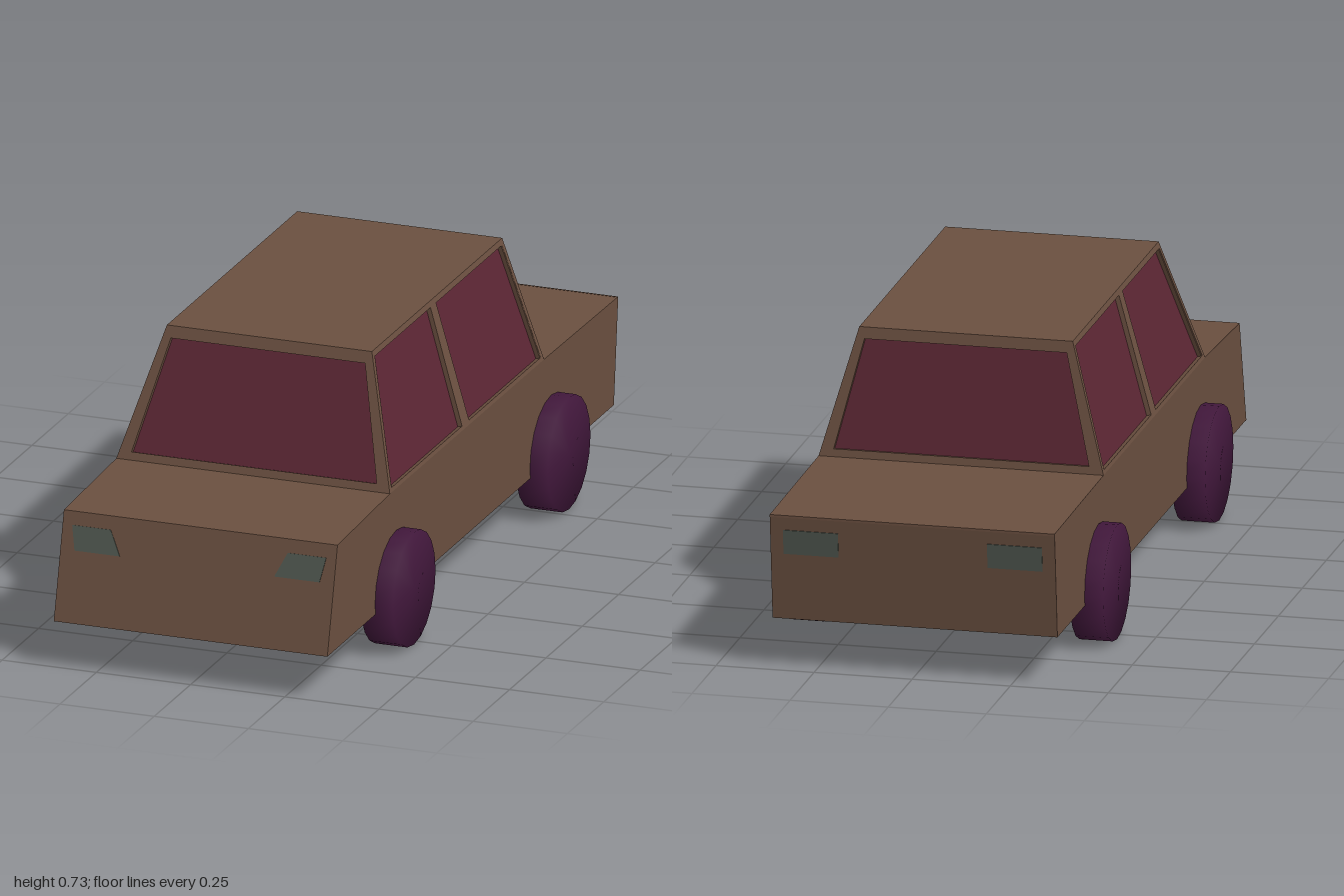
import * as THREE from 'three';

const paint = new THREE.MeshStandardMaterial({ color: 0x6b5040, side: THREE.DoubleSide });
const glass = new THREE.MeshStandardMaterial({ color: 0x5c2634, side: THREE.DoubleSide });
const lamp = new THREE.MeshStandardMaterial({ color: 0x505850, side: THREE.DoubleSide });
const rubber = new THREE.MeshStandardMaterial({ color: 0x42183c });

const vec = (p) => new THREE.Vector3(...p);
const points = (list) => list.map(([u, v]) => new THREE.Vector2(u, v));
const UNIT = [[0, 0], [1, 0], [1, 1], [0, 1]];

// Plate on four corners (bottom left, bottom right, top right, top left seen from outside).
// The outline and holes are in 0..1 across the plate; top and bottom are depths below its face.
function panel(name, corners, material, { outline = UNIT, holes = [], top = 0, bottom = 0.012 } = {}) {
  const [bl, br, tr, tl] = corners.map(vec);
  const inward = tl.clone().sub(bl).cross(br.clone().sub(bl)).normalize();
  const shape = new THREE.Shape(points(outline));
  holes.forEach((h) => shape.holes.push(new THREE.Path(points(h))));
  const geo = new THREE.ExtrudeGeometry(shape, { depth: 1, bevelEnabled: false });
  const pos = geo.attributes.position;
  for (let i = 0; i < pos.count; i++) {
    const u = pos.getX(i), v = pos.getY(i);
    const p = bl.clone().lerp(br, u).lerp(tl.clone().lerp(tr, u), v);
    p.addScaledVector(inward, THREE.MathUtils.lerp(bottom, top, pos.getZ(i)));
    pos.setXYZ(i, p.x, p.y, p.z);
  }
  geo.computeVertexNormals();
  const mesh = new THREE.Mesh(geo, material);
  mesh.name = name;
  return mesh;
}

// Framed opening with the pane set slightly into it
function windowWall(name, corners, holes) {
  const wall = new THREE.Group();
  wall.name = name;
  wall.add(panel(name + 'Frame', corners, paint, { holes, bottom: 0.018 }));
  holes.forEach((outline) =>
    wall.add(panel(name + 'Glass', corners, glass, { outline, top: 0.012, bottom: 0.015 })));
  return wall;
}

export function createModel() {
  const car = new THREE.Group();
  car.name = 'car';
  const W = 0.363, R = 0.272;          // half widths of body and roof
  const base = 0.405, roofY = 0.73;    // cabin heights
  const zf = 0.57, zr = -0.49, tf = 0.458, tb = -0.438; // cabin ends, below and above

  // Lower body shell, open underneath
  const front = [[-W, 0.12, 1], [W, 0.12, 1], [W, 0.39, 0.93], [-W, 0.39, 0.93]];
  const rear = [[W, 0.125, -0.97], [-W, 0.125, -0.97], [-W, 0.4, -1], [W, 0.4, -1]];
  car.add(panel('frontPanel', front, paint, { bottom: 0.006 }));
  car.add(panel('rearPanel', rear, paint, { bottom: 0.006 }));
  car.add(panel('hood', [front[3], front[2], [W, base, zf], [-W, base, zf]], paint, { bottom: 0.006 }));
  car.add(panel('trunkLid', [[-W, base, zr], [W, base, zr], rear[3], rear[2]], paint, { bottom: 0.006 }));
  const sideShape = new THREE.Shape(points([
    [-1, 0.12], [0.97, 0.125], [1, 0.4], [-zr, base], [-zf, base], [-0.93, 0.39],
  ]));
  for (const s of [1, -1]) {
    const side = new THREE.Mesh(new THREE.ShapeGeometry(sideShape), paint);
    side.name = s > 0 ? 'leftSide' : 'rightSide';
    side.rotation.y = Math.PI / 2;
    if (s < 0) side.scale.z = -1;
    side.position.x = s * W;
    car.add(side);
  }

  // Cabin with roof, windshield, rear window and two windows per side
  car.add(panel('roof', [[-R, roofY, tf], [R, roofY, tf], [R, roofY, tb], [-R, roofY, tb]], paint));
  const endHole = [[0.045, 0.06], [0.955, 0.06], [0.96, 0.91], [0.04, 0.91]];
  car.add(windowWall('windshield',
    [[-W, base, zf], [W, base, zf], [R, roofY, tf], [-R, roofY, tf]], [endHole]));
  car.add(windowWall('rearWindow',
    [[W, base, zr], [-W, base, zr], [-R, roofY, tb], [R, roofY, tb]], [endHole]));
  const sideHoles = [
    [[0.014, 0.03], [0.474, 0.03], [0.44, 0.955], [0.016, 0.955]],
    [[0.519, 0.03], [0.986, 0.03], [0.984, 0.955], [0.482, 0.955]],
  ];
  car.add(windowWall('leftWindows',
    [[W, base, zf], [W, base, zr], [R, roofY, tb], [R, roofY, tf]], sideHoles));
  car.add(windowWall('rightWindows',
    [[-W, base, zr], [-W, base, zf], [-R, roofY, tf], [-R, roofY, tb]],
    sideHoles.map((h) => h.map(([u, v]) => [1 - u, v]))));

  // Lamps, seated through the end panels
  const headlight = [[0.205, 0.65], [0.325, 0.65], [0.337, 0.875], [0.235, 0.875]];
  const taillight = [[0.19, 0.63], [0.33, 0.63], [0.33, 0.86], [0.19, 0.86]];
  for (const s of [1, -1]) {
    const place = (list) => list.map(([x, v]) => [0.5 + s * x / (2 * W), v]);
    car.add(panel('headlight', front, lamp, { outline: place(headlight), top: -0.002, bottom: 0.009 }));
    car.add(panel('taillight', rear, lamp, { outline: place(taillight), top: -0.002, bottom: 0.009 }));
  }

  // Wheels: softly shaded drums, hollow on the inner side
  const wheelGeo = new THREE.LatheGeometry(
    points([[0.12, -0.0425], [0.1475, -0.0425], [0.1475, 0.0425], [0, 0.0425]]), 20);
  for (const s of [1, -1]) {
    for (const z of [0.525, -0.54]) {
      const wheel = new THREE.Mesh(wheelGeo, rubber);
      wheel.name = z > 0 ? 'frontWheel' : 'rearWheel';
      wheel.rotation.z = -s * Math.PI / 2;
      wheel.position.set(s * 0.3675, 0.1475, z);
      car.add(wheel);
    }
  }
  return car;
}
